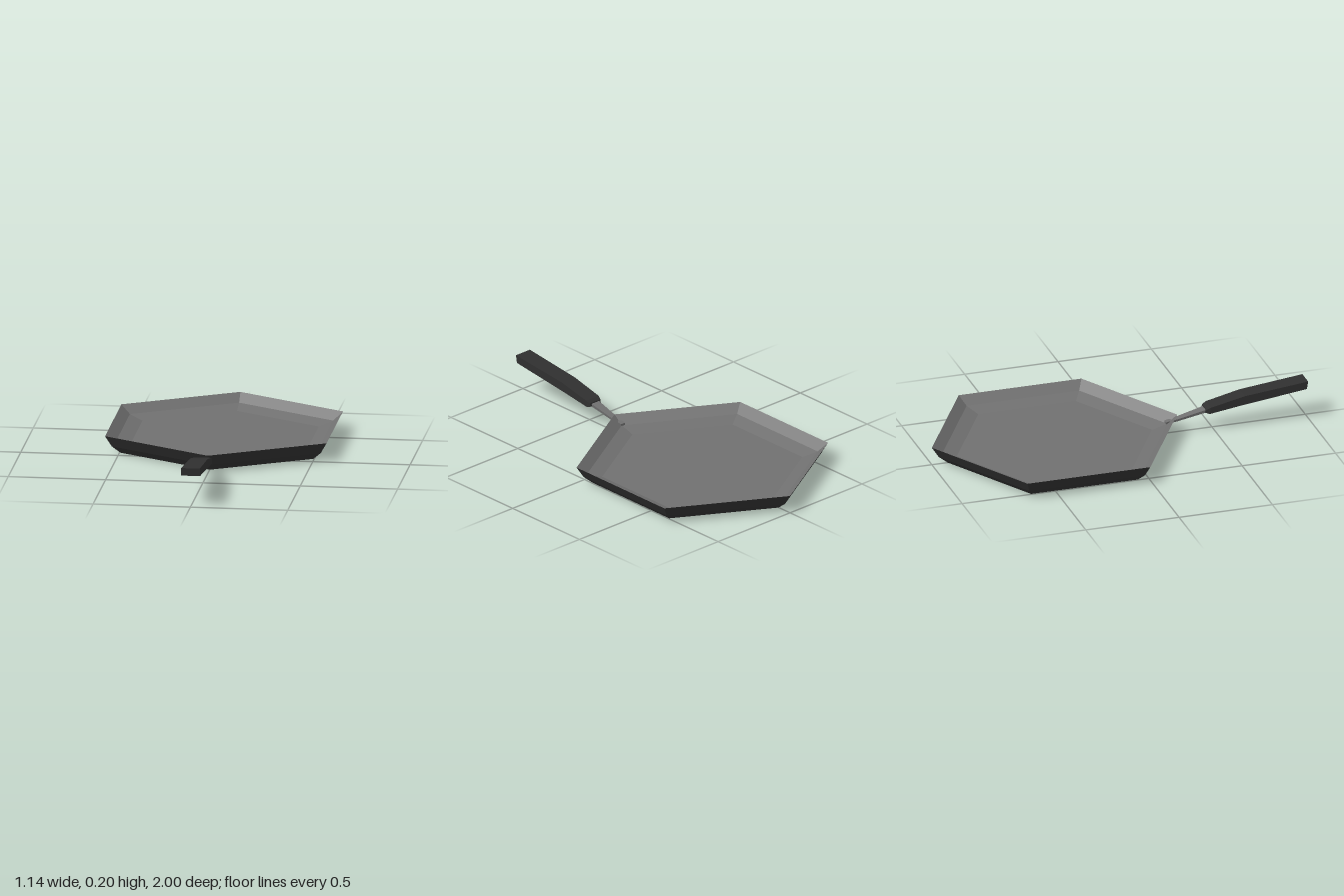
import * as THREE from 'three';

const PAN_Z = -0.343;

function material(color) {
  return new THREE.MeshStandardMaterial({ color, flatShading: true });
}

// Six-sided shell from [radius, height] pairs, one corner towards +z
function hexShell(name, profile, mat) {
  const points = profile.map(([r, y]) => new THREE.Vector2(r, y));
  const mesh = new THREE.Mesh(new THREE.LatheGeometry(points, 6), mat);
  mesh.name = name;
  mesh.position.z = PAN_Z;
  return mesh;
}

// Closed bar through four-cornered sections, ordered from back to front:
// zTop, yTop, half width on top, zBottom, yBottom, half width below
function bar(name, sections, mat) {
  const positions = [];
  const index = [];
  for (const [zt, yt, wt, zb, yb, wb] of sections) {
    positions.push(-wb, yb, zb, wb, yb, zb, wt, yt, zt, -wt, yt, zt);
  }
  const quad = (a, b, c, d) => index.push(a, b, c, a, c, d);
  const last = (sections.length - 1) * 4;
  for (let s = 0; s < last; s += 4) {
    for (let i = 0; i < 4; i++) {
      const j = (i + 1) % 4;
      quad(s + i, s + j, s + j + 4, s + i + 4);
    }
  }
  quad(3, 2, 1, 0);
  quad(last, last + 1, last + 2, last + 3);
  const geometry = new THREE.BufferGeometry();
  geometry.setAttribute('position', new THREE.Float32BufferAttribute(positions, 3));
  geometry.setIndex(index);
  geometry.computeVertexNormals();
  const mesh = new THREE.Mesh(geometry, mat);
  mesh.name = name;
  return mesh;
}

export function createModel() {
  const group = new THREE.Group();
  group.name = 'fryingPan';
  const black = material(0x303030);
  const metal = material(0x707070);

  // Dark outside, from the base centre up to the sharp rim
  group.add(hexShell('panOutside', [[0, 0], [0.572, 0], [0.62, 0.038], [0.657, 0.095]], black));

  // Metal inside, from the rim down to the floor centre
  group.add(hexShell('panInside', [[0.657, 0.095], [0.603, 0.052], [0.523, 0.029], [0, 0.029]], metal));

  // Thin neck, rising and widening from the pan corner to the grip
  group.add(bar('handleNeck', [
    [0.25, 0.066, 0.014, 0.25, 0.054, 0.012],
    [0.31, 0.076, 0.017, 0.31, 0.064, 0.015],
    [0.48, 0.117, 0.027, 0.48, 0.1, 0.025],
  ], metal));

  // Bent grip
  group.add(bar('handleGrip', [
    [0.46, 0.117, 0.037, 0.455, 0.1, 0.036],
    [0.48, 0.128, 0.043, 0.475, 0.094, 0.043],
    [0.66, 0.168, 0.045, 0.645, 0.119, 0.045],
    [1, 0.204, 0.048, 0.993, 0.163, 0.048],
  ], black));

  return group;
}
